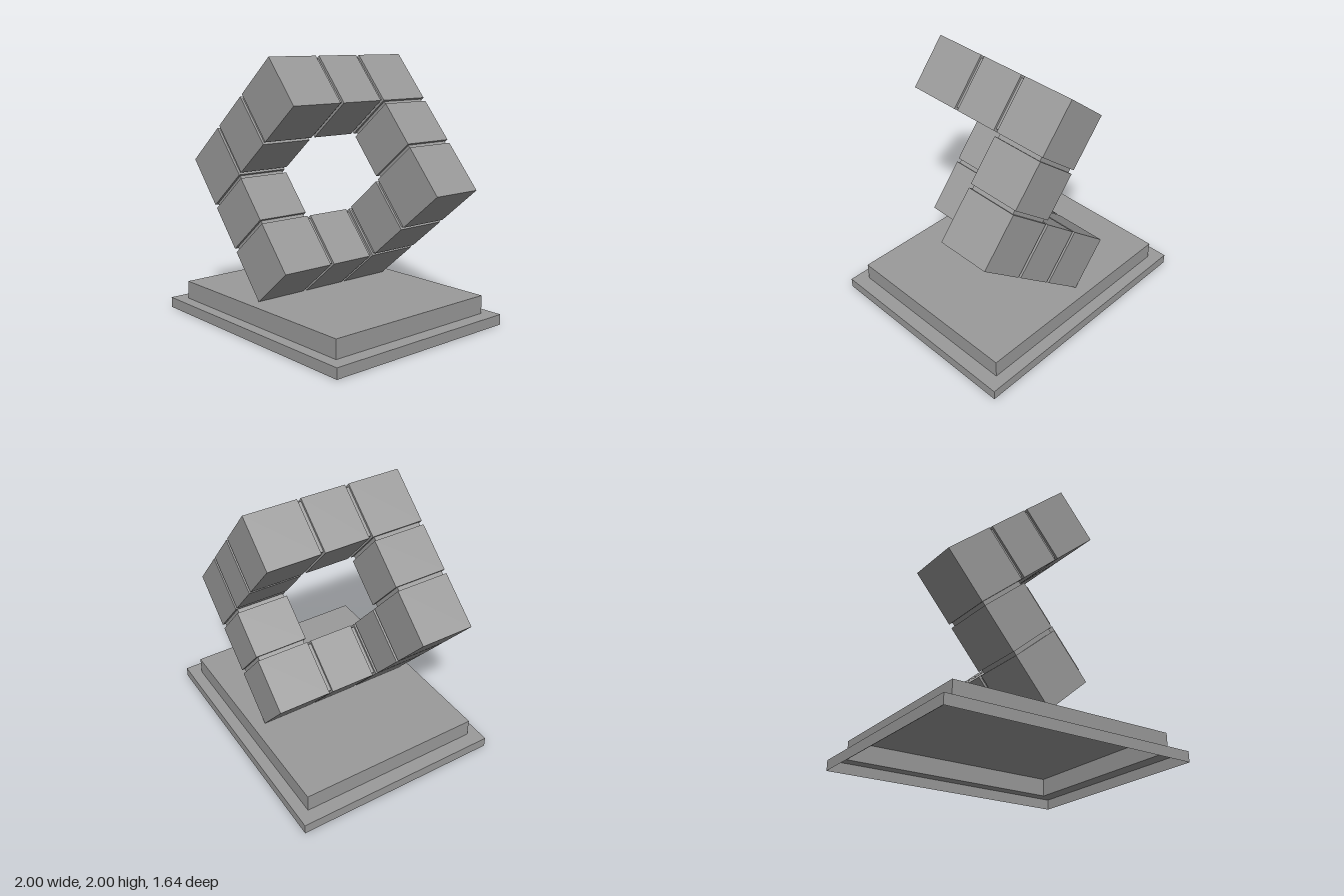
import * as THREE from 'three';

export function createModel() {
  const model = new THREE.Group();
  const stone = new THREE.MeshStandardMaterial({ color: 0x9a9a9a, flatShading: true });
  const shell = new THREE.MeshStandardMaterial({ color: 0x9a9a9a, flatShading: true, side: THREE.DoubleSide });

  // Stepped base: a four-sided shell, open underneath
  const profile = [[1, 0], [1, 0.08], [0.89, 0.08], [0.89, 0.22], [0, 0.22]]
    .map(([r, y]) => new THREE.Vector2(r * Math.SQRT2, y));
  const baseGeometry = new THREE.LatheGeometry(profile, 4, Math.PI / 4).scale(1, 1, 0.818).toNonIndexed();
  baseGeometry.computeVertexNormals();
  const base = new THREE.Mesh(baseGeometry, shell);
  base.name = 'steppedBase';
  model.add(base);

  // Closed loop of blocks along the edges of a cube, balanced on one edge
  const loop = new THREE.Group();
  loop.name = 'blockLoop';
  loop.position.y = 1.111;
  loop.rotation.z = THREE.MathUtils.degToRad(40);
  model.add(loop);

  const HALF = 0.632, CORNER = 0.422, MIDDLE = 0.36, INSET = 0.018;
  const pitch = HALF - CORNER / 2;
  const joint = HALF - CORNER - MIDDLE / 2;

  const addBox = (name, size, position) => {
    const mesh = new THREE.Mesh(new THREE.BoxGeometry(...size), stone);
    mesh.name = name;
    mesh.position.set(...position);
    loop.add(mesh);
  };

  const cells = [
    [-1, -1, 1], [-1, 0, 1], [-1, 1, 1], [0, 1, 1], [1, 1, 1], [1, 1, 0],
    [1, 1, -1], [1, 0, -1], [1, -1, -1], [0, -1, -1], [-1, -1, -1], [-1, -1, 0],
  ];
  for (const cell of cells) {
    const axis = cell.indexOf(0);
    const centre = cell.map((c) => c * pitch);
    addBox(axis < 0 ? 'cornerBlock' : 'middleBlock',
      cell.map((c) => (c === 0 ? MIDDLE : CORNER)), centre);
    if (axis < 0) continue;

    // Recessed connectors at both ends of each middle block
    for (const side of [-1, 1]) {
      const size = [0, 1, 2].map((i) => (i === axis ? joint : CORNER - 2 * INSET));
      const position = [...centre];
      position[axis] = side * (MIDDLE + joint) / 2;
      addBox('connector', size, position);
    }
  }
  return model;
}
